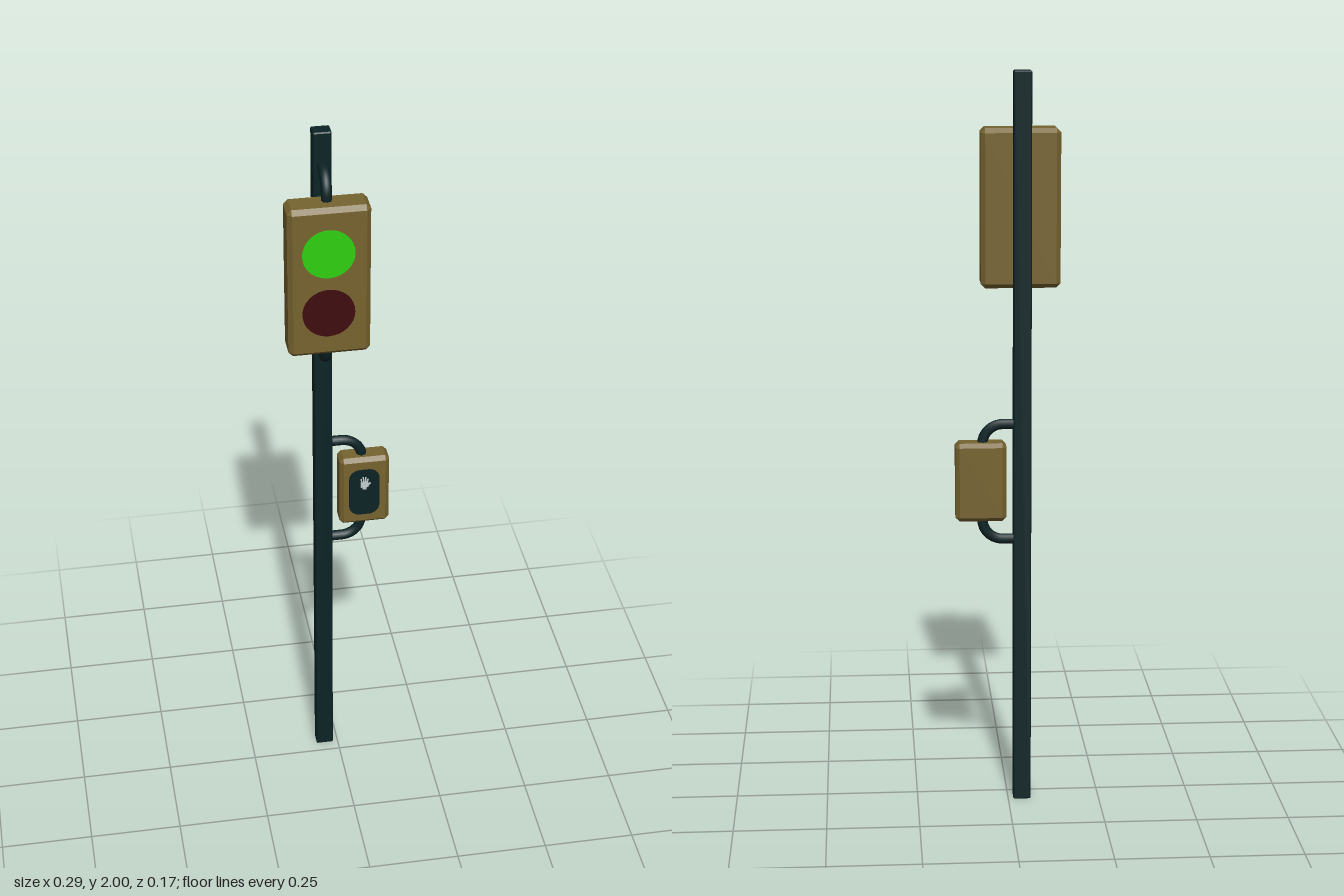
import * as THREE from 'three';
import { ConvexGeometry } from 'three/addons/geometries/ConvexGeometry.js';

const material = (name, color) => {
  const m = new THREE.MeshStandardMaterial({ color });
  m.name = name;
  return m;
};

// Box with every edge cut by a chamfer c
function chamferBox(w, h, d, c) {
  const half = [w / 2, h / 2, d / 2];
  const points = [];
  for (const sx of [-1, 1]) for (const sy of [-1, 1]) for (const sz of [-1, 1]) {
    for (let axis = 0; axis < 3; axis++) {
      const p = half.map((v, i) => (i === axis ? v : v - c));
      points.push(new THREE.Vector3(p[0] * sx, p[1] * sy, p[2] * sz));
    }
  }
  return new ConvexGeometry(points);
}

// Rounded upright plate outline
function pill(w, h, r) {
  const s = new THREE.Shape();
  const x = w / 2 - r, y = h / 2 - r;
  s.absarc(x, y, r, 0, Math.PI / 2);
  s.absarc(-x, y, r, Math.PI / 2, Math.PI);
  s.absarc(-x, -y, r, Math.PI, Math.PI * 1.5);
  s.absarc(x, -y, r, Math.PI * 1.5, Math.PI * 2);
  s.closePath();
  return s;
}

export function createModel() {
  const group = new THREE.Group();
  const iron = material('dark iron', 0x0c2325);
  const gold = material('dull gold', 0x76632f);
  const green = material('green light', 0x2fd010);
  const red = material('dim red light', 0x400c10);
  const white = material('pale symbol', 0xc4cccc);

  const add = (name, geometry, mat, x = 0, y = 0, z = 0) => {
    const mesh = new THREE.Mesh(geometry, mat);
    mesh.name = name;
    mesh.position.set(x, y, z);
    group.add(mesh);
    return mesh;
  };

  const px = -0.038, pz = -0.05;
  add('pole', chamferBox(0.048, 2, 0.041, 0.003), iron, px, 1, pz);

  // Curved brackets: out from the pole, then bent into the housing
  function bracket(name, reach, y, dir, turn) {
    const r = 0.055, path = new THREE.CurvePath();
    const v = (a, b) => new THREE.Vector3(a, b * dir, 0);
    path.add(new THREE.LineCurve3(v(0, 0), v(reach - r, 0)));
    path.add(new THREE.CubicBezierCurve3(
      v(reach - r, 0), v(reach - r * 0.45, 0), v(reach, r * 0.45), v(reach, r)));
    path.add(new THREE.LineCurve3(v(reach, r), v(reach, r + 0.03)));
    const arm = add(name, new THREE.TubeGeometry(path, 20, 0.014, 8), iron, px, y, pz);
    arm.rotation.y = turn;
  }
  bracket('signalBracketTop', 0.081, 1.908, -1, -Math.PI / 2);
  bracket('signalBracketBottom', 0.081, 1.36, 1, -Math.PI / 2);
  bracket('buttonBracketTop', 0.107, 1.062, -1, 0);
  bracket('buttonBracketBottom', 0.107, 0.744, 1, 0);

  // Signal head with two lamps
  add('signalHousing', chamferBox(0.213, 0.425, 0.082, 0.012), gold, -0.038, 1.632, 0.039);
  for (const [name, y, mat] of [['greenLamp', 1.718, green], ['redLamp', 1.547, red]]) {
    add(name, new THREE.CylinderGeometry(0.068, 0.068, 0.004, 32), mat, -0.041, y, 0.081)
      .rotation.x = Math.PI / 2;
  }

  // Crossing button box
  add('buttonHousing', chamferBox(0.137, 0.215, 0.065, 0.011), gold, 0.0735, 0.907, -0.05);
  const panel = new THREE.ExtrudeGeometry(pill(0.084, 0.148, 0.03),
    { depth: 0.003, bevelEnabled: false, curveSegments: 5 });
  add('buttonPanel', panel, iron, 0.072, 0.906, -0.0185);

  // Small open-hand symbol
  add('palm', new THREE.BoxGeometry(0.021, 0.016, 0.002), white, 0.072, 0.931, -0.0148);
  for (let i = 0; i < 4; i++) {
    const h = [0.014, 0.019, 0.018, 0.012][i];
    add('finger', new THREE.BoxGeometry(0.004, h, 0.002), white,
      0.0635 + i * 0.0057, 0.938 + h / 2, -0.0148).rotation.z = (1.5 - i) * 0.12;
  }
  add('thumb', new THREE.BoxGeometry(0.004, 0.014, 0.002), white, 0.084, 0.932, -0.0148)
    .rotation.z = -0.7;
  add('wrist', new THREE.BoxGeometry(0.012, 0.008, 0.002), white, 0.072, 0.92, -0.0148);

  return group;
}
